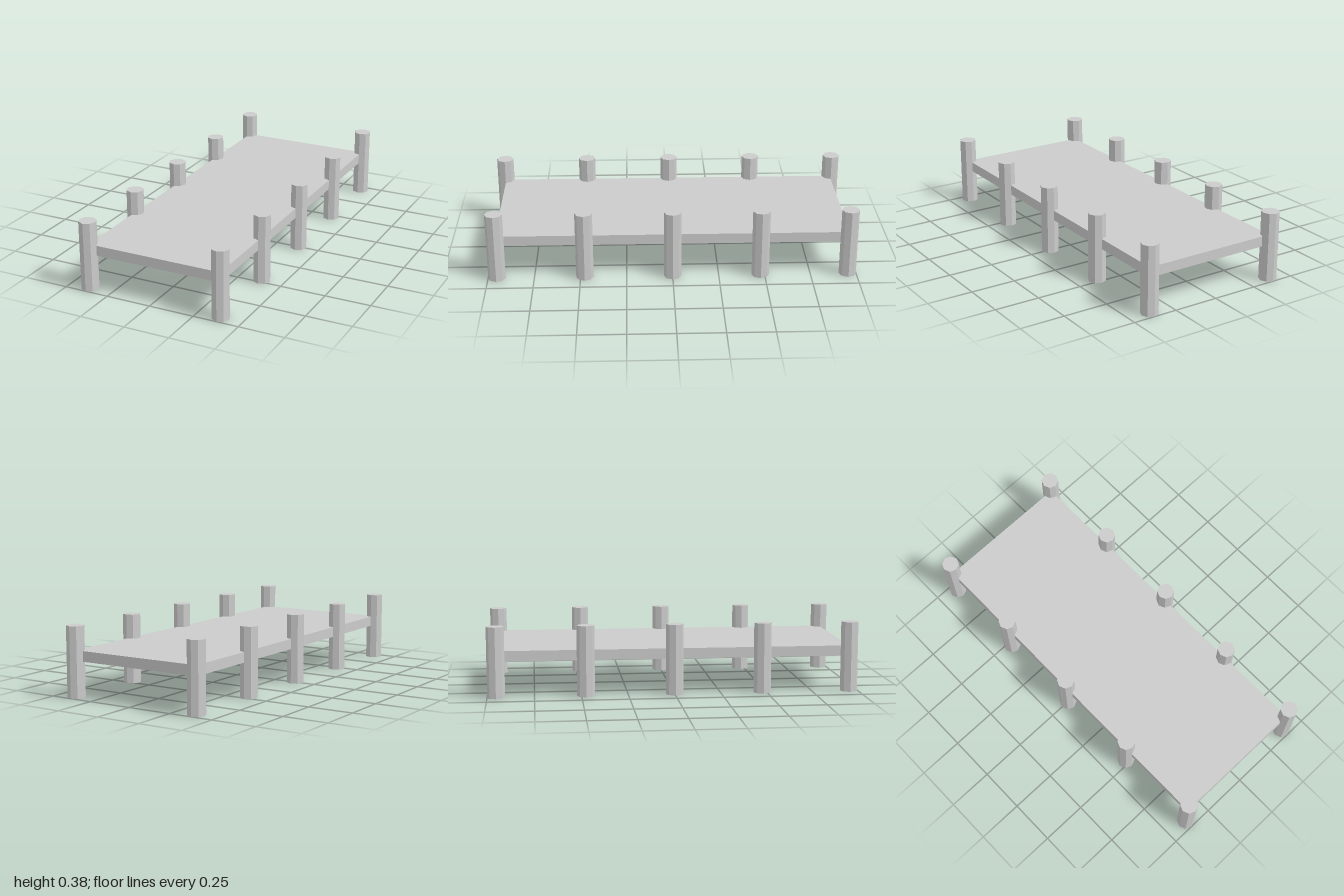
import * as THREE from 'three';

export function createModel() {
  const model = new THREE.Group();
  model.name = 'dock';
  const material = new THREE.MeshStandardMaterial({ color: 0xcccccc, flatShading: true });

  const halfWidth = 0.38, halfLength = 0.9525;
  const postRadius = 0.0475, postHeight = 0.38;

  // Flat deck whose long edges run through the post centres
  const deck = new THREE.Mesh(new THREE.BoxGeometry(halfWidth * 2, 0.056, halfLength * 2), material);
  deck.name = 'deck';
  deck.position.y = 0.22;
  model.add(deck);

  // Five pairs of octagonal posts along the sides
  const postGeometry = new THREE.CylinderGeometry(postRadius, postRadius, postHeight, 8);
  const pairs = 5;
  for (let i = 0; i < pairs; i++) {
    const z = halfLength * (1 - (2 * i) / (pairs - 1));
    for (const side of [1, -1]) {
      const post = new THREE.Mesh(postGeometry, material);
      post.name = `${side > 0 ? 'left' : 'right'}Post${i + 1}`;
      post.position.set(side * halfWidth, postHeight / 2, z);
      model.add(post);
    }
  }

  return model;
}
